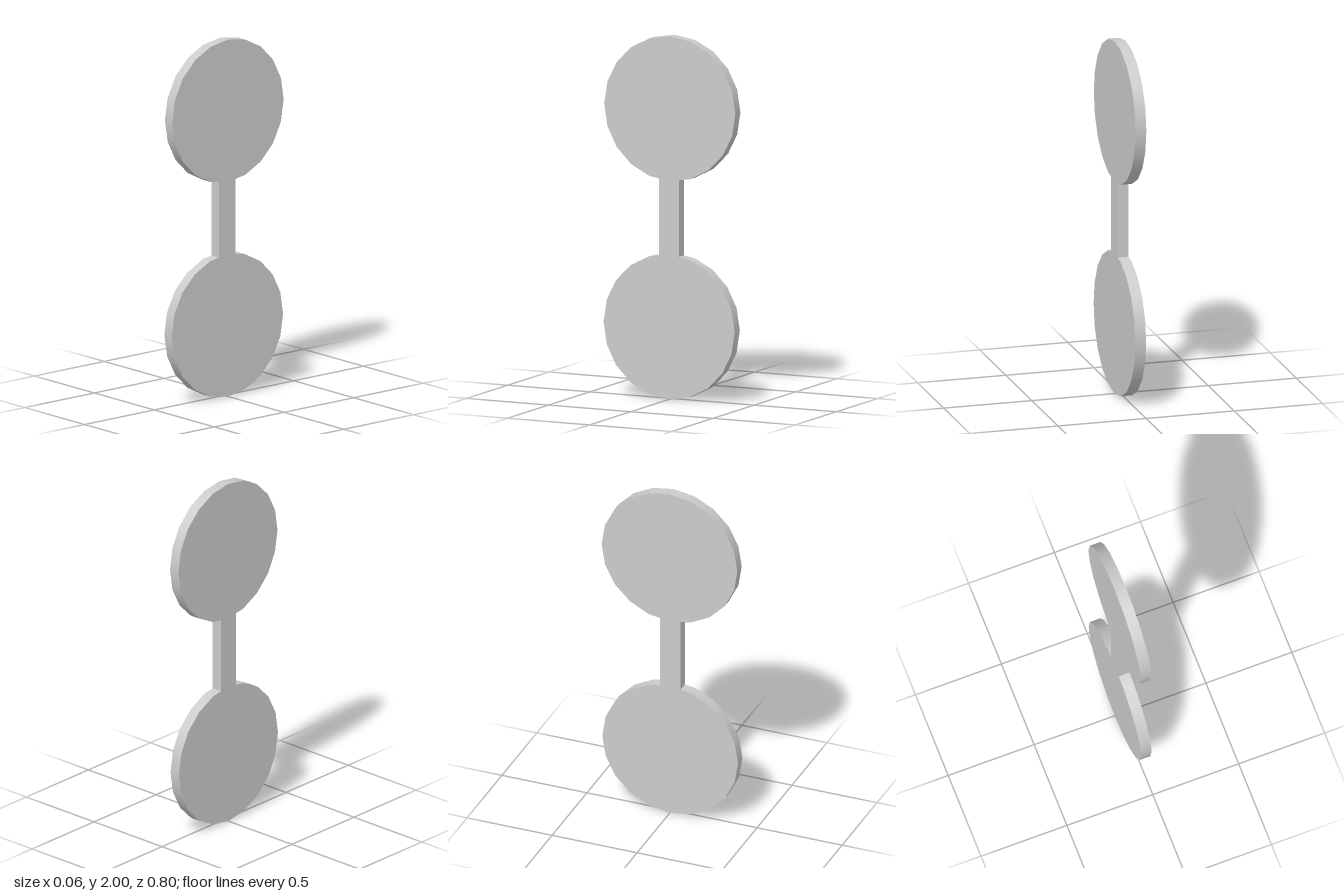
import * as THREE from 'three';

export function createModel() {
  const group = new THREE.Group();
  const material = new THREE.MeshStandardMaterial({ color: 0xcccccc });
  const thickness = 0.062, radius = 0.399;

  const add = (name, geometry, y, z) => {
    const mesh = new THREE.Mesh(geometry, material);
    mesh.name = name;
    mesh.position.set(0, y, z);
    group.add(mesh);
  };

  // Two 20-sided discs facing sideways, with smooth rims
  const disc = new THREE.CylinderGeometry(radius, radius, thickness, 20).rotateZ(Math.PI / 2);
  add('lowerDisc', disc, radius, 0.002);
  add('upperDisc', disc, 2 - radius, -0.002);

  // Flush bar joining the discs, ending just inside their rims
  add('connectingBar', new THREE.BoxGeometry(thickness, 0.424, 0.12), 1, 0.003);

  return group;
}
